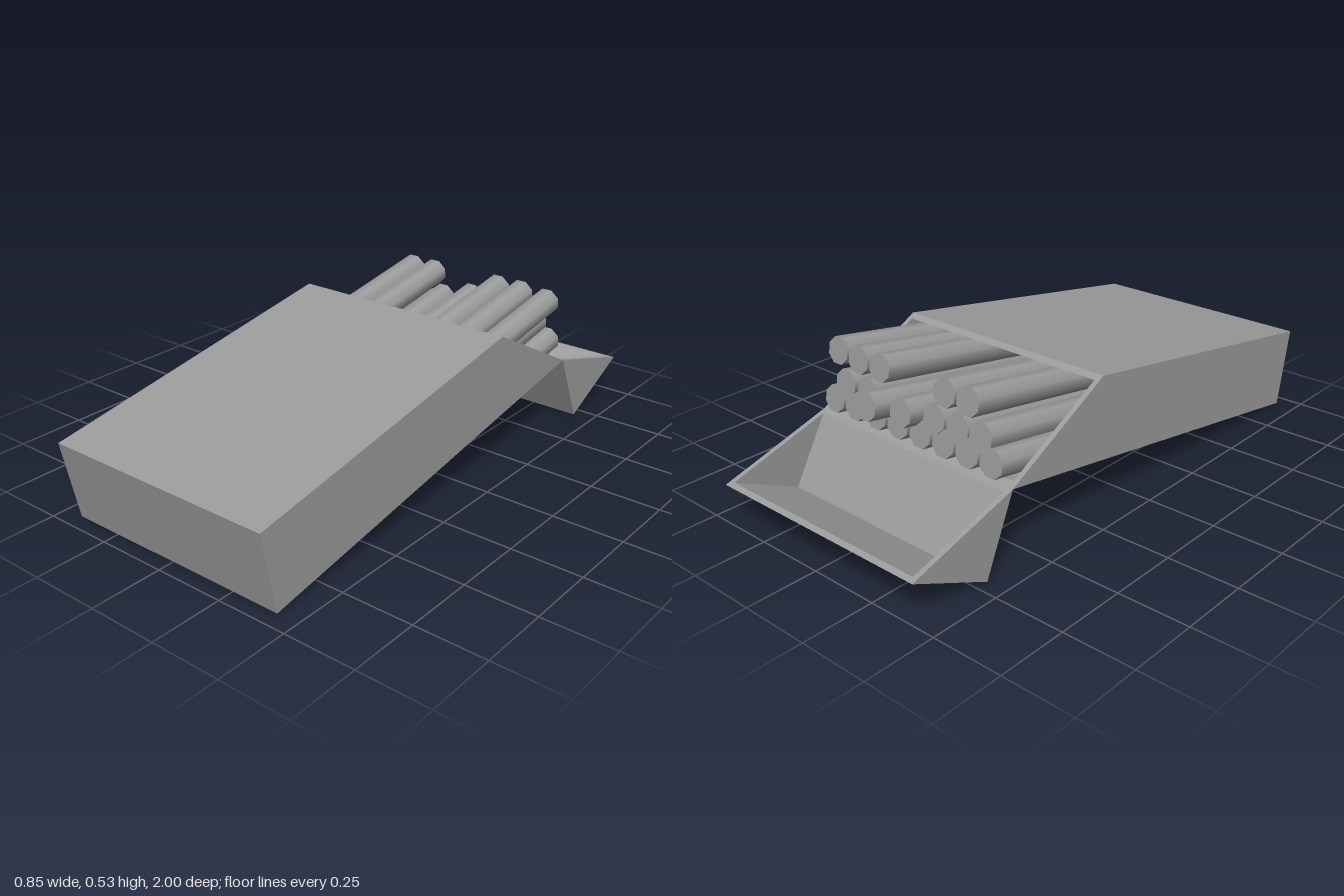
import * as THREE from 'three';

const HALF = 0.425;   // half width of the pack
const WALL = 0.018;   // card thickness at the sides

const grey = new THREE.MeshStandardMaterial({ color: 0x9c9c9c });

// Extrude a (z, y) profile across x, centred on the given x
function slab(name, points, width, x = 0) {
  const shape = new THREE.Shape(points.map(([z, y]) => new THREE.Vector2(z, y)));
  const geo = new THREE.ExtrudeGeometry(shape, { depth: width, bevelEnabled: false });
  geo.translate(0, 0, -width / 2);
  geo.rotateY(-Math.PI / 2);
  const mesh = new THREE.Mesh(geo, grey);
  mesh.name = name;
  mesh.position.x = x;
  return mesh;
}

// Hollow card shell, open between the first and last profile points
function shell(name, outer, inner) {
  const group = new THREE.Group();
  group.name = name;
  group.add(slab(name + 'Wall', [...outer, ...[...inner].reverse()], 2 * (HALF - WALL)));
  for (const side of [1, -1]) {
    group.add(slab(name + (side > 0 ? 'LeftSide' : 'RightSide'), outer, WALL, side * (HALF - WALL / 2)));
  }
  return group;
}

export function createModel() {
  const model = new THREE.Group();
  model.name = 'openPack';

  // Tilted box with a slanted open end
  model.add(shell('box',
    [[-0.59, 0.262], [0.945, 0.003], [1, 0.287], [-0.17, 0.485]],
    [[-0.568, 0.274], [0.933, 0.02], [0.983, 0.275], [-0.192, 0.473]]));

  // Wedge lid folded back on its hinge
  model.add(shell('lid',
    [[-0.59, 0.262], [-0.705, 0.001], [-1, 0.14]],
    [[-0.61, 0.256], [-0.74, 0.03], [-0.98, 0.146]]));

  // Sticks: local y runs along the box, local z through its depth
  const sticks = new THREE.Group();
  sticks.name = 'sticks';
  sticks.position.set(0, 0.005, 0.945);
  sticks.rotation.x = -1.405;
  const length = 1.45;
  const stickGeo = new THREE.CylinderGeometry(0.048, 0.048, length, 8);
  stickGeo.rotateY(Math.PI / 8);

  // Each row: depth and [x, end position] of its sticks
  const rows = [
    { t: 0.06, ends: Array.from({ length: 8 }, (_, i) => [-0.352 + i * 0.1, 1.58]) },
    { t: 0.127, ends: [[-0.3, 1.58], [-0.205, 1.58], [-0.11, 1.585], [-0.015, 1.635], [0.087, 1.685], [0.195, 1.58], [0.3, 1.58]] },
    { t: 0.221, ends: [[-0.243, 1.588], [-0.145, 1.588], [0.141, 1.588], [0.24, 1.588], [0.356, 1.572]] },
  ];
  for (const { t, ends } of rows) {
    for (const [x, end] of ends) {
      const stick = new THREE.Mesh(stickGeo, grey);
      stick.name = 'stick';
      stick.position.set(x, end - length / 2, t);
      sticks.add(stick);
    }
  }
  model.add(sticks);
  return model;
}
